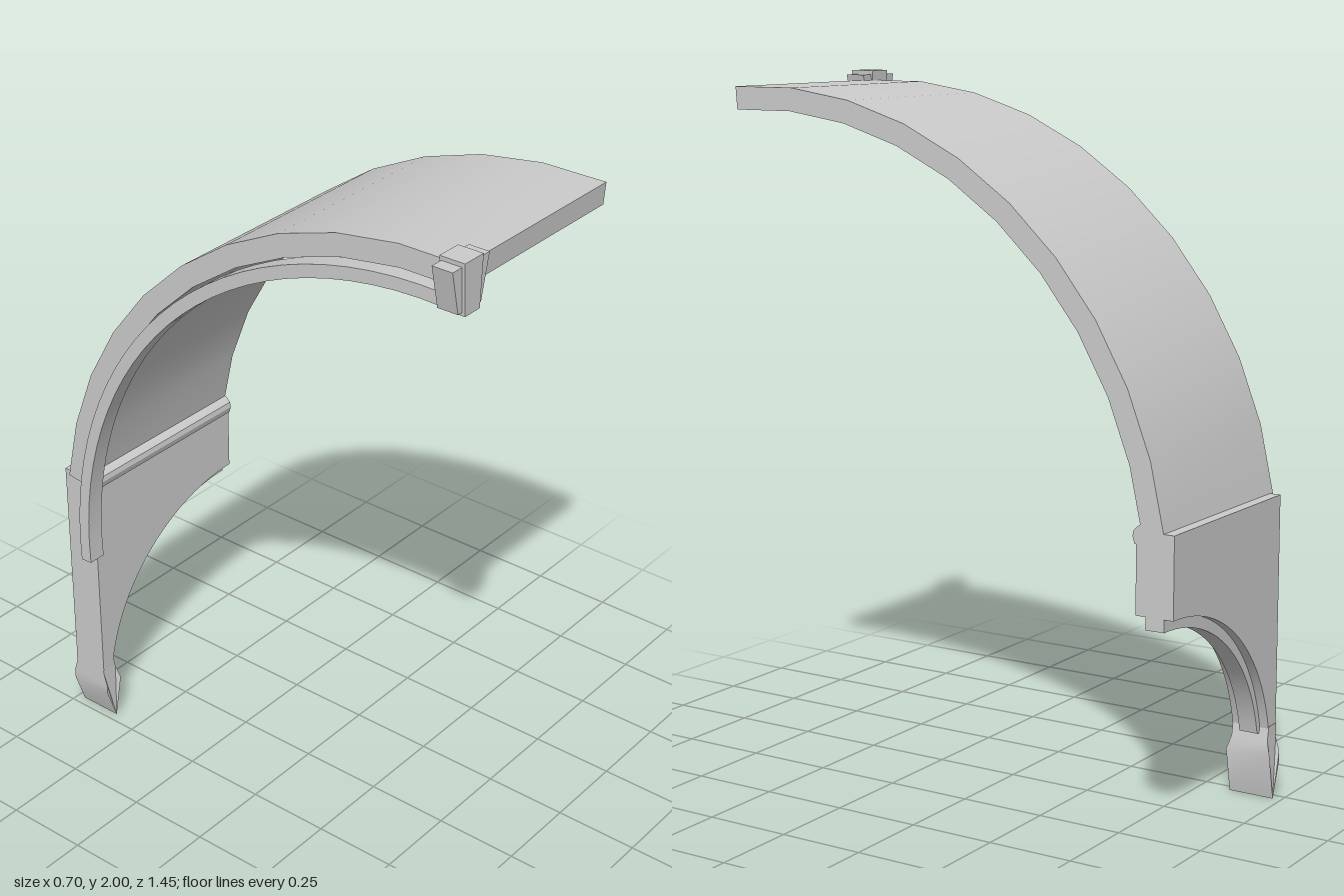
import * as THREE from 'three';
import { toCreasedNormals } from 'three/addons/utils/BufferGeometryUtils.js';

const material = new THREE.MeshStandardMaterial({ color: 0xcccccc });

function extrude(points, depth) {
  const shape = new THREE.Shape(points.map(([x, y]) => new THREE.Vector2(x, y)));
  return new THREE.ExtrudeGeometry(shape, { depth, bevelEnabled: false });
}

// Outline in the front plane, extruded from z0 to z1
const frontPrism = (points, z0, z1) => extrude(points, z1 - z0).translate(0, 0, z0);

// Outline in the side plane as (-z, y), extruded from x0 to x1
const sidePrism = (points, x0, x1) =>
  extrude(points, x1 - x0).rotateY(Math.PI / 2).translate(x0, 0, 0);

// Curved band between two radii around the springing centre
function arcBand(rIn, rOut, a0, a1, segments) {
  const arc = (r) => Array.from({ length: segments + 1 }, (_, i) => {
    const a = a0 + ((a1 - a0) * i) / segments;
    return [-0.6 + r * Math.sin(a), 0.68 + r * Math.cos(a)];
  });
  return [...arc(rOut), ...arc(rIn).reverse()];
}

// Wall outline whose lower right corner is cut away by an elliptical arch
function spandrel(rx, ry) {
  const points = [[-0.257, 0.18], [-0.257, 0.865], [0.345, 0.865]];
  const end = Math.PI - Math.asin(0.09 / ry);
  for (let i = 0; i <= 24; i++) {
    const a = Math.PI / 2 + ((end - Math.PI / 2) * i) / 24;
    points.push([0.345 + rx * Math.cos(a), 0.1 + ry * Math.sin(a)]);
  }
  return points;
}

export function createModel() {
  const group = new THREE.Group();
  const add = (name, geometry) => {
    const mesh = new THREE.Mesh(toCreasedNormals(geometry, 0.45), material);
    mesh.name = name;
    group.add(mesh);
  };

  // Quarter vault and the slim rib along its edge
  add('vaultShell', sidePrism(arcBand(1.23, 1.294, -0.074, 1.43, 10), -0.273, 0.345));
  add('edgeRib', sidePrism(arcBand(1.183, 1.22, -0.05, 1.63, 28), -0.304, -0.25));

  // Arched wall: two outer faces with a lower arch moulding between them
  add('wallFront', frontPrism(spandrel(0.568, 0.54), -0.63, -0.6));
  add('wallBack', frontPrism(spandrel(0.568, 0.54), -0.712, -0.685));
  add('archMoulding', frontPrism(spandrel(0.55, 0.505), -0.685, -0.63));

  // Small string course where the vault springs from the wall
  add('stringCourse', sidePrism(
    [[0.595, 0.83], [0.62, 0.83], [0.62, 0.885], [0.607, 0.88], [0.592, 0.866], [0.589, 0.85]],
    -0.25, 0.345));

  // Pointed pendant foot, flared in depth below the neck
  const foot = frontPrism(
    [[-0.257, 0.21], [-0.257, 0.17], [-0.257, 0.13], [-0.257, 0.1], [-0.222, 0],
      [-0.196, 0.13], [-0.205, 0.17], [-0.213, 0.21]], -1, 1);
  const p = foot.attributes.position;
  for (let i = 0; i < p.count; i++) {
    const half = p.getY(i) < 0.15 ? 0.068 : 0.056;
    p.setZ(i, -0.657 + Math.sign(p.getZ(i)) * half);
  }
  foot.computeVertexNormals();
  add('pendantFoot', foot);

  // Keystone: tapered block with a raised centre
  add('keystoneBlock', frontPrism(
    [[-0.35, 1.988], [-0.322, 1.866], [-0.228, 1.866], [-0.2, 1.988]], 0.657, 0.718));
  add('keystoneCentre', frontPrism(
    [[-0.313, 2], [-0.305, 1.857], [-0.245, 1.857], [-0.238, 2]], 0.652, 0.727));

  return group;
}
